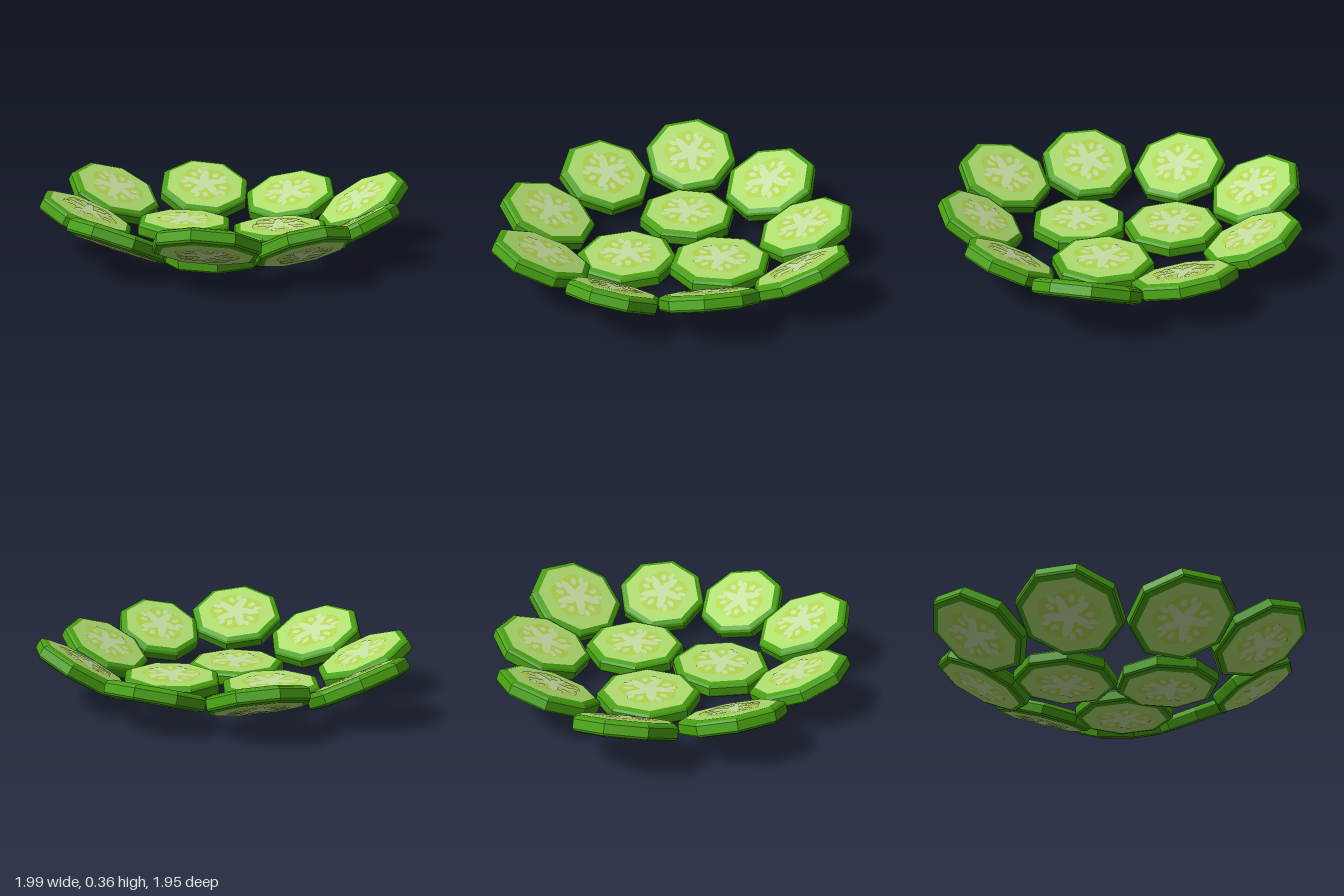
import * as THREE from 'three';

const flat = (name, color, flatShading = false) => {
  const m = new THREE.MeshStandardMaterial({ color, flatShading });
  m.name = name;
  return m;
};

// closed wavy outline, radius given by a function of the angle
function radialShape(radius, steps) {
  const pts = [];
  for (let i = 0; i < steps; i++) {
    const a = (i / steps) * Math.PI * 2, r = radius(a);
    pts.push(new THREE.Vector2(Math.cos(a) * r, Math.sin(a) * r));
  }
  return new THREE.Shape(pts);
}

export function createModel() {
  const model = new THREE.Group();
  model.name = 'cucumberSlices';

  const skin = flat('skin green', 0x48a012, true);
  const fleshMat = flat('flesh green', 0xb0de70);
  const coreMat = flat('core yellow green', 0xb3d44e);
  const paleMat = flat('seed pale green', 0xc6dfa4);

  const H = 0.043; // half thickness
  const R = 0.272; // corner radius of a full-size slice

  // eight-sided peel with chamfered edges
  const rimGeo = new THREE.LatheGeometry([
    [0.232, -H], [R - 0.008, -H + 0.008], [R, -H + 0.018],
    [R, H - 0.022], [R - 0.01, H - 0.01], [0.234, H],
  ].map(([x, y]) => new THREE.Vector2(x, y)), 8);

  const lay = (g) => g.rotateX(-Math.PI / 2);
  const fleshGeo = lay(new THREE.CircleGeometry(0.234, 8));

  // lobed core, pale five-armed heart and seeds
  const coreGeo = lay(new THREE.ShapeGeometry(
    radialShape((a) => 0.15 + 0.012 * Math.cos(5 * a + Math.PI), 50)));
  const heartGeo = lay(new THREE.ShapeGeometry(
    radialShape((a) => 0.085 + 0.042 * Math.cos(5 * a) + 0.012 * Math.cos(10 * a + 1), 60)));
  const seedGeo = lay(new THREE.CircleGeometry(0.02, 10).scale(1.25, 0.8, 1));

  function cutFace() {
    const face = new THREE.Group();
    face.name = 'cutFace';
    const add = (name, geo, mat, y) => {
      const m = new THREE.Mesh(geo, mat);
      m.name = name;
      m.position.y = y;
      face.add(m);
      return m;
    };
    add('flesh', fleshGeo, fleshMat, H);
    add('core', coreGeo, coreMat, H + 0.002);
    add('heart', heartGeo, paleMat, H + 0.004);
    for (let i = 0; i < 5; i++) {
      for (const [da, r] of [[0.63, 0.108], [0.24, 0.125]]) {
        const a = (i / 5) * Math.PI * 2 + da;
        const s = add('seed', seedGeo, paleMat, H + 0.004);
        s.position.x = Math.cos(a) * r;
        s.position.z = -Math.sin(a) * r;
        s.rotation.y = a;
      }
    }
    return face;
  }

  // x, y, z, tilt towards the middle (deg), turn (deg), scale
  const slices = [
    [-0.435, 0.200, -0.73, 28, 22, 1],
    [0.12, 0.178, -0.72, 25, -2, 1],
    [0.53, 0.160, -0.39, 21, 0, 1],
    [0.755, 0.200, 0.075, 32, 10, 1],
    [0.475, 0.172, 0.51, 29, -17, 0.93],
    [0.06, 0.178, 0.745, 29, 6, 0.91],
    [-0.425, 0.212, 0.70, 26, 7, 1],
    [-0.73, 0.172, 0.265, 25, -3, 1],
    [-0.735, 0.175, -0.28, 25, 2, 1],
    [-0.17, 0.075, -0.285, 2, 0, 1],
    [-0.21, 0.047, 0.245, 0, -17, 1],
    [0.26, 0.075, 0.055, 2, 0, 1],
  ];

  const up = new THREE.Vector3(0, 1, 0);
  for (const [x, y, z, tilt, turn, scale] of slices) {
    const slice = new THREE.Group();
    slice.name = 'slice';
    const rim = new THREE.Mesh(rimGeo, skin);
    rim.name = 'peel';
    const top = cutFace(), bottom = cutFace();
    bottom.rotation.x = Math.PI;
    slice.add(rim, top, bottom);

    const t = THREE.MathUtils.degToRad(tilt), d = Math.hypot(x, z);
    const normal = new THREE.Vector3(-x / d * Math.sin(t), Math.cos(t), -z / d * Math.sin(t));
    slice.quaternion.setFromUnitVectors(up, normal).multiply(
      new THREE.Quaternion().setFromAxisAngle(up, THREE.MathUtils.degToRad(turn)));
    slice.position.set(x, y, z);
    slice.scale.set(scale, 1, scale);
    model.add(slice);
  }
  return model;
}
